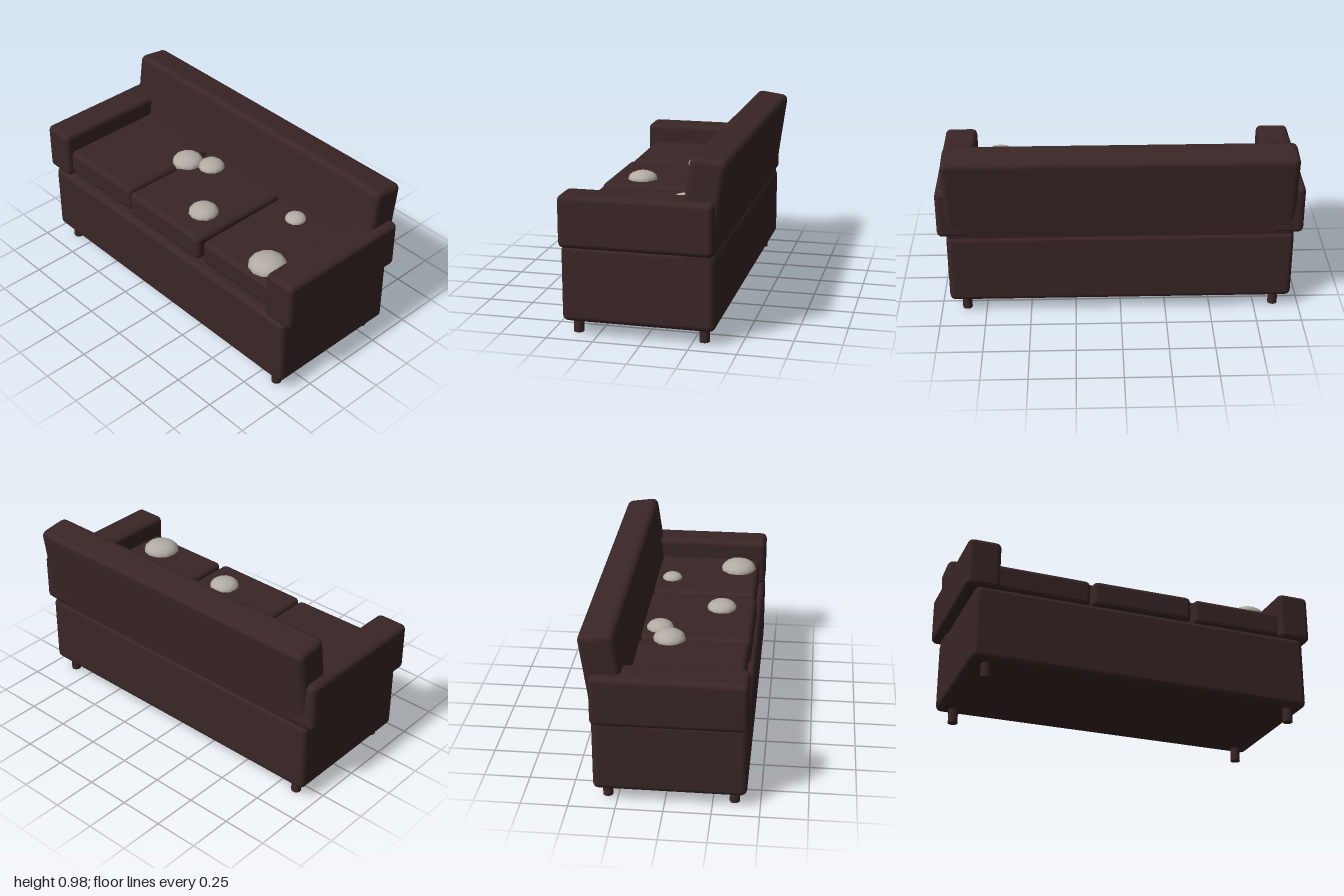
import * as THREE from 'three';
import { RoundedBoxGeometry } from 'three/addons/geometries/RoundedBoxGeometry.js';

export function createModel() {
  const sofa = new THREE.Group();
  sofa.name = 'sofa';

  const upholstery = new THREE.MeshStandardMaterial({ color: 0x3a2626 });
  upholstery.name = 'dark brown upholstery';
  const fluff = new THREE.MeshStandardMaterial({ color: 0xb2aca4 });
  fluff.name = 'pale grey fluff';

  function add(name, geometry, material, x, y, z) {
    const mesh = new THREE.Mesh(geometry, material);
    mesh.name = name;
    mesh.position.set(x, y, z);
    sofa.add(mesh);
    return mesh;
  }

  // Padded box given by its size, centre and edge radius
  function pad(name, [w, h, d], [x, y, z], radius) {
    return add(name, new RoundedBoxGeometry(w, h, d, 2, radius), upholstery, x, y, z);
  }

  // Base and leaning backrest
  pad('base', [1.9, 0.41, 0.805], [0, 0.283, 0.0275], 0.032);
  const back = pad('backrest', [1.9, 0.55, 0.19], [0, 0.703, -0.302], 0.035);
  back.rotation.x = -THREE.MathUtils.degToRad(8);

  // Arms and legs, mirrored left and right
  for (const [side, s] of [['left', 1], ['right', -1]]) {
    pad(side + 'Arm', [0.183, 0.277, 0.805], [s * 0.9065, 0.623, 0.0275], 0.03);
    for (const [end, z] of [['Front', 0.364], ['Back', -0.306]]) {
      add(side + end + 'Leg', new THREE.CylinderGeometry(0.027, 0.027, 0.12, 16), upholstery, s * 0.86, 0.06, z);
    }
  }

  // Seat cushions, loosely placed
  const cushions = [
    ['rightCushion', -0.592, 0.07, 0.012],
    ['middleCushion', -0.003, 0.08, -0.006],
    ['leftCushion', 0.59, 0.07, 0.003],
  ];
  for (const [name, x, z, turn] of cushions) {
    pad(name, [0.572, 0.15, 0.65], [x, 0.573, z], 0.03).rotation.y = turn;
  }

  // Flattened tufts of fluff: x, z, radius, half height
  const tufts = [
    [-0.295, -0.04, 0.09, 0.05],
    [-0.165, -0.105, 0.076, 0.042],
    [0.12, 0.215, 0.084, 0.046],
    [0.505, -0.11, 0.059, 0.032],
    [0.68, 0.275, 0.104, 0.057],
  ];
  tufts.forEach(([x, z, radius, height], i) => {
    const tuft = add('tuft' + (i + 1), new THREE.SphereGeometry(1, 12, 8), fluff, x, 0.648, z);
    tuft.scale.set(radius, height, radius);
  });

  return sofa;
}
